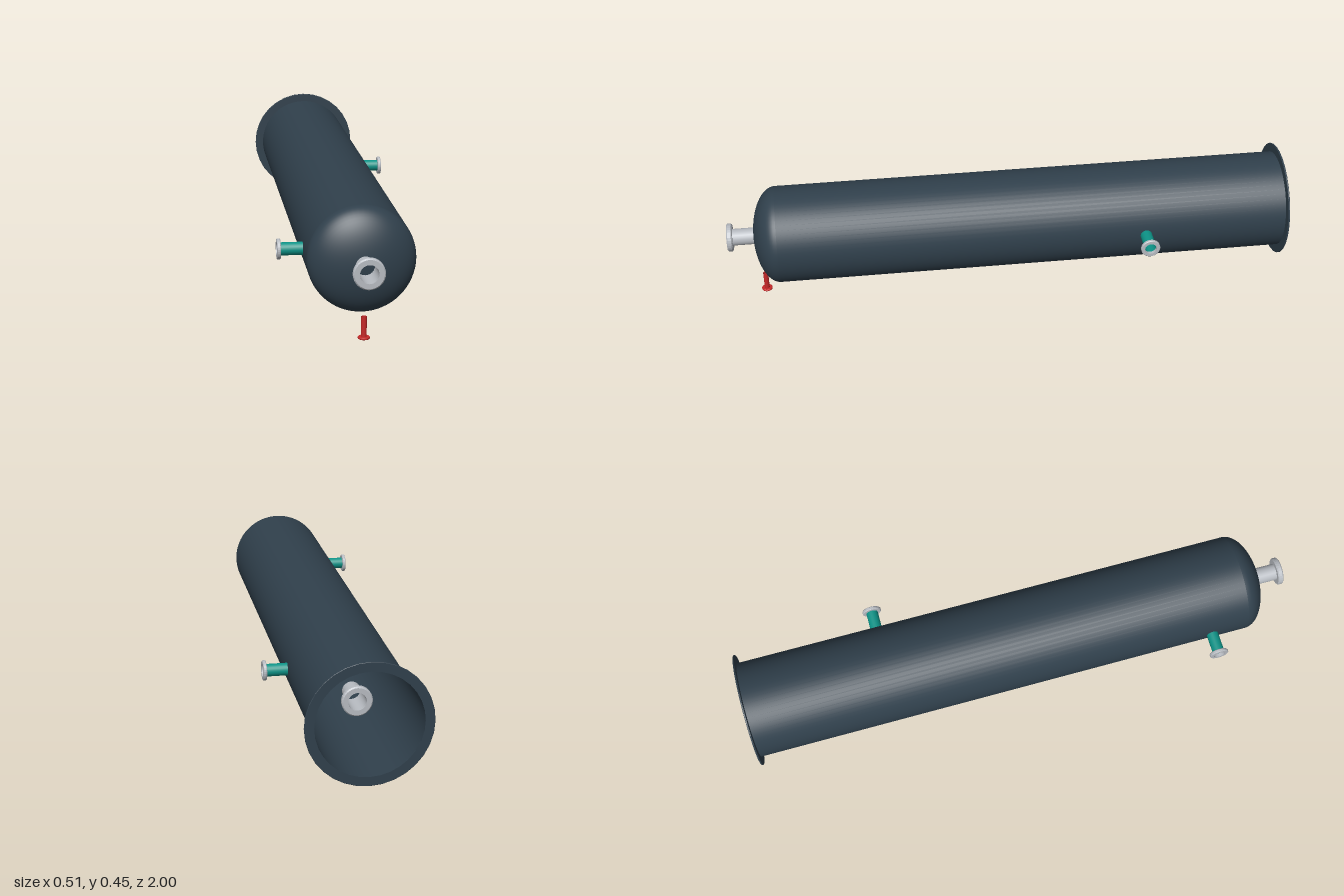
import * as THREE from 'three';

const AXIS_Y = 0.2425; // height of the vessel axis
const R = 0.172;       // vessel radius

const mat = (name, color) => {
  const m = new THREE.MeshStandardMaterial({ color, side: THREE.DoubleSide });
  m.name = name;
  return m;
};

export function createModel() {
  const shellMat = mat('dark slate steel', 0x30404c);
  const greyMat = mat('light grey steel', 0xb8bcc2);
  const tealMat = mat('teal paint', 0x0d9488);
  const redMat = mat('red paint', 0xc62828);

  const model = new THREE.Group();
  model.name = 'pressureVessel';

  const part = (name, geometry, material, parent) => {
    const mesh = new THREE.Mesh(geometry, material);
    mesh.name = name;
    parent.add(mesh);
    return mesh;
  };
  const lathe = (points, segments) =>
    new THREE.LatheGeometry(points.map(([r, y]) => new THREE.Vector2(r, y)), segments);

  // Ring with chamfered rims, its outer face at y = top
  const ring = (inner, outer, top, t) => {
    const c = t * 0.2;
    const g = lathe([
      [inner, top - t], [outer - c, top - t], [outer, top - t + c],
      [outer, top - c], [outer - c, top], [inner, top], [inner, top - t],
    ], 32).toNonIndexed();
    g.computeVertexNormals();
    return g;
  };

  // Hollow pipe with an end flange, pointing along its own +y
  const nozzle = (name, o) => {
    const g = new THREE.Group();
    g.name = name;
    const pipe = part(name + 'Pipe',
      new THREE.CylinderGeometry(o.r, o.r, o.length, 24, 1, true), o.pipeMat, g);
    pipe.position.y = o.length / 2;
    part(name + 'Flange', ring(o.r * 0.99, o.flangeR, o.length + 0.001, o.t), o.flangeMat, g);
    model.add(g);
    return g;
  };

  // Shell: straight barrel open at the back
  const shell = new THREE.Group();
  shell.name = 'shell';
  shell.rotation.x = Math.PI / 2; // lathe axis y becomes z
  shell.position.y = AXIS_Y;
  model.add(shell);
  part('barrel', lathe([[R, -1], [R, 0.82]], 64), shellMat, shell);

  // Half-elliptical front head
  const head = [];
  for (let i = 0; i <= 16; i++) {
    const a = (i / 16) * Math.PI / 2;
    head.push([R * Math.cos(a), 0.82 + 0.087 * Math.sin(a)]);
  }
  part('frontHead', lathe(head, 64), shellMat, shell);

  // Thin flange around the open back end
  part('backFlange', ring(R, 0.203, -0.994, 0.006), shellMat, shell);

  // Grey axial nozzles: one on the head, one inside the open end
  const grey = { r: 0.03, flangeR: 0.05, t: 0.02, pipeMat: greyMat, flangeMat: greyMat };
  const front = nozzle('frontNozzle', { ...grey, length: 0.105 });
  front.rotation.x = Math.PI / 2;
  front.position.set(0, AXIS_Y, 0.894);
  const inner = nozzle('innerNozzle', { ...grey, length: 0.1 });
  inner.rotation.x = -Math.PI / 2;
  inner.position.set(0, AXIS_Y, -0.71);

  // Teal side nozzles, staggered along the barrel
  for (const [side, z, name] of [[1, -0.485, 'leftNozzle'], [-1, 0.685, 'rightNozzle']]) {
    const n = nozzle(name, {
      r: 0.021, flangeR: 0.034, t: 0.012, length: 0.085, pipeMat: tealMat, flangeMat: greyMat,
    });
    n.rotation.z = -side * Math.PI / 2;
    n.position.set(side * 0.168, AXIS_Y, z);
  }

  // Red drain below the front head
  const drain = nozzle('drain', {
    r: 0.009, flangeR: 0.019, t: 0.007, length: 0.071, pipeMat: redMat, flangeMat: redMat,
  });
  drain.rotation.x = Math.PI;
  drain.position.set(0, 0.072, 0.88);

  return model;
}
